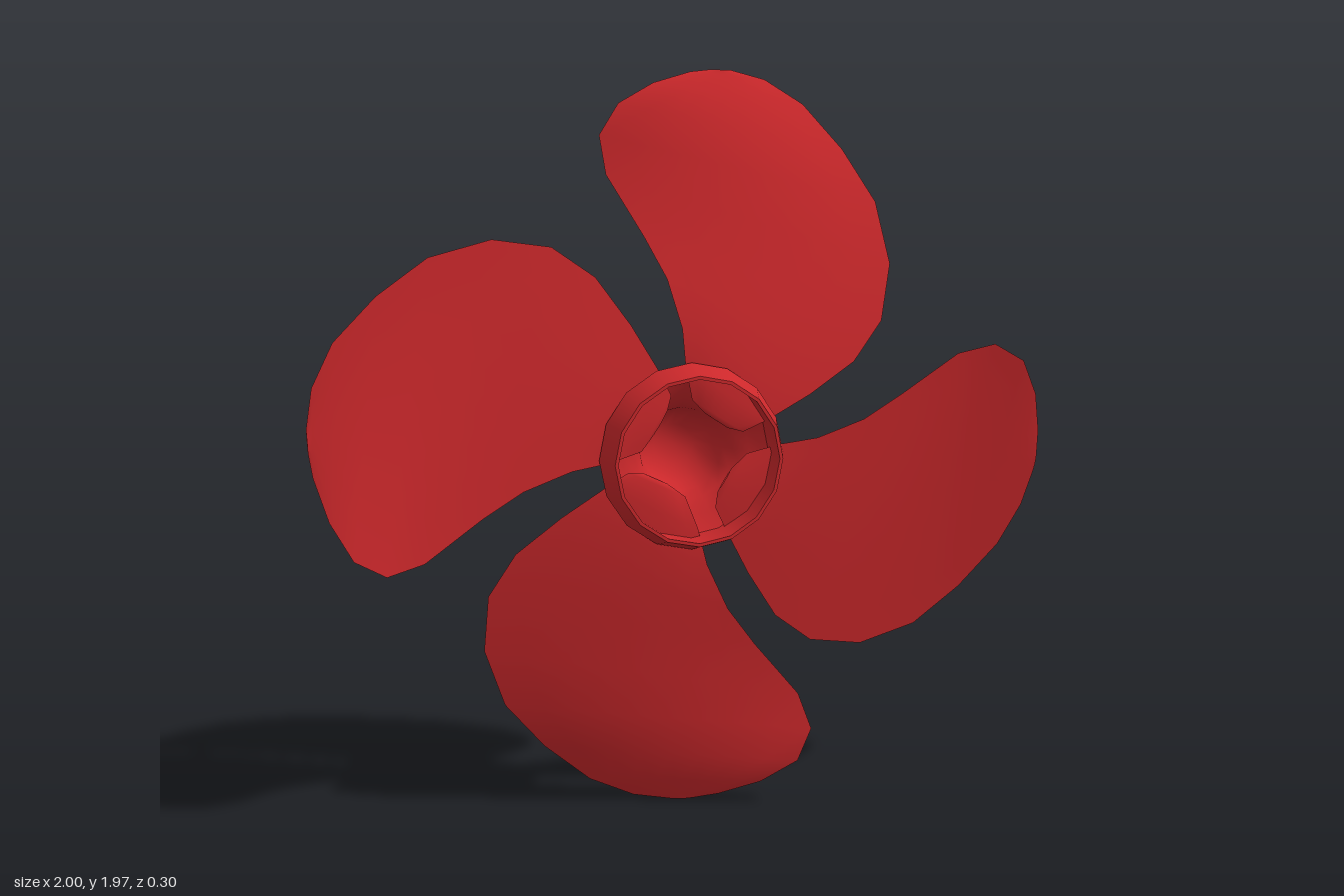
import * as THREE from 'three';

const red = new THREE.MeshStandardMaterial({ color: 0xcc282b, side: THREE.DoubleSide });

// Edge points (x, y, z) of one blade from root to tip, measured from the blade's pivot
const leading = [
  [0.03, 0.1, 0.03], [-0.01, 0.14, 0.045], [-0.03, 0.23, 0.055], [-0.04, 0.33, 0.06],
  [-0.08, 0.46, 0.058], [-0.14, 0.57, 0.053], [-0.24, 0.73, 0.058], [-0.26, 0.83, 0.072],
  [-0.21, 0.91, 0.074], [-0.11, 0.96, 0.035], [0.0, 0.987, -0.015], [0.06, 0.992, -0.038],
];
const trailing = [
  [0.09, 0.06, 0.03], [0.13, 0.05, 0.04], [0.2, 0.08, 0.04], [0.32, 0.14, 0.02],
  [0.45, 0.22, -0.008], [0.535, 0.325, -0.035], [0.565, 0.475, -0.06], [0.53, 0.64, -0.085],
  [0.44, 0.78, -0.1], [0.33, 0.9, -0.105], [0.22, 0.965, -0.09], [0.12, 0.99, -0.06],
];

// One face of the blade: a grid between the two edges, bulging to the front or back
function bladeFace(side) {
  const cols = 8;
  const pos = [];
  const index = [];
  leading.forEach((l, i) => {
    const r = trailing[i];
    for (let j = 0; j <= cols; j++) {
      const t = j / cols;
      const bulge = side * 0.005 * Math.sin(Math.PI * t);
      pos.push(
        l[0] + (r[0] - l[0]) * t,
        l[1] + (r[1] - l[1]) * t,
        l[2] + (r[2] - l[2]) * t + bulge,
      );
      if (i < leading.length - 1 && j < cols) {
        const a = i * (cols + 1) + j, b = a + 1, c = a + cols + 1, d = c + 1;
        if (side > 0) index.push(a, b, d, a, d, c);
        else index.push(a, d, b, a, c, d);
      }
    }
  });
  const geo = new THREE.BufferGeometry();
  geo.setAttribute('position', new THREE.Float32BufferAttribute(pos, 3));
  geo.setIndex(index);
  geo.computeVertexNormals();
  return geo;
}

// Turned part around the z axis, profile given as (radius, z)
function turned(name, profile) {
  const geo = new THREE.LatheGeometry(profile.map(([r, z]) => new THREE.Vector2(r, z)), 16);
  geo.rotateX(Math.PI / 2);
  const mesh = new THREE.Mesh(geo, red);
  mesh.name = name;
  return mesh;
}

export function createModel() {
  const model = new THREE.Group();
  model.name = 'propeller';

  // Hollow hub: bell with a rounded nose at the back, open collar at the front
  const hub = new THREE.Group();
  hub.name = 'hub';
  hub.position.set(-0.012, 0.97, 0);
  hub.add(
    turned('hubBell', [[0, -0.148], [0.055, -0.148], [0.1, -0.105], [0.113, -0.06],
      [0.135, -0.03], [0.175, -0.008], [0.215, 0.012], [0.24, 0.035], [0.248, 0.062]]),
    turned('hubCollar', [[0.248, 0.062], [0.224, 0.147]]),
    turned('hubRim', [[0.224, 0.147], [0.215, 0.147]]),
    turned('hubInnerWall', [[0.215, 0.147], [0.22, 0.018]]),
  );
  model.add(hub);

  // Four blades, slightly unevenly set: [angle, pivot x, pivot y]
  const faces = [bladeFace(1), bladeFace(-1)];
  const placements = [
    [0, 0.003, 0.977], [93.6, -0.004, 1.004], [188, -0.055, 0.998], [271.9, 0.003, 0.955],
  ];
  placements.forEach(([deg, x, y], i) => {
    const blade = new THREE.Group();
    blade.name = `blade${i + 1}`;
    faces.forEach((geo, k) => {
      const mesh = new THREE.Mesh(geo, red);
      mesh.name = k === 0 ? 'bladeFront' : 'bladeBack';
      blade.add(mesh);
    });
    blade.position.set(x, y, 0);
    blade.rotation.z = THREE.MathUtils.degToRad(deg);
    model.add(blade);
  });

  return model;
}
